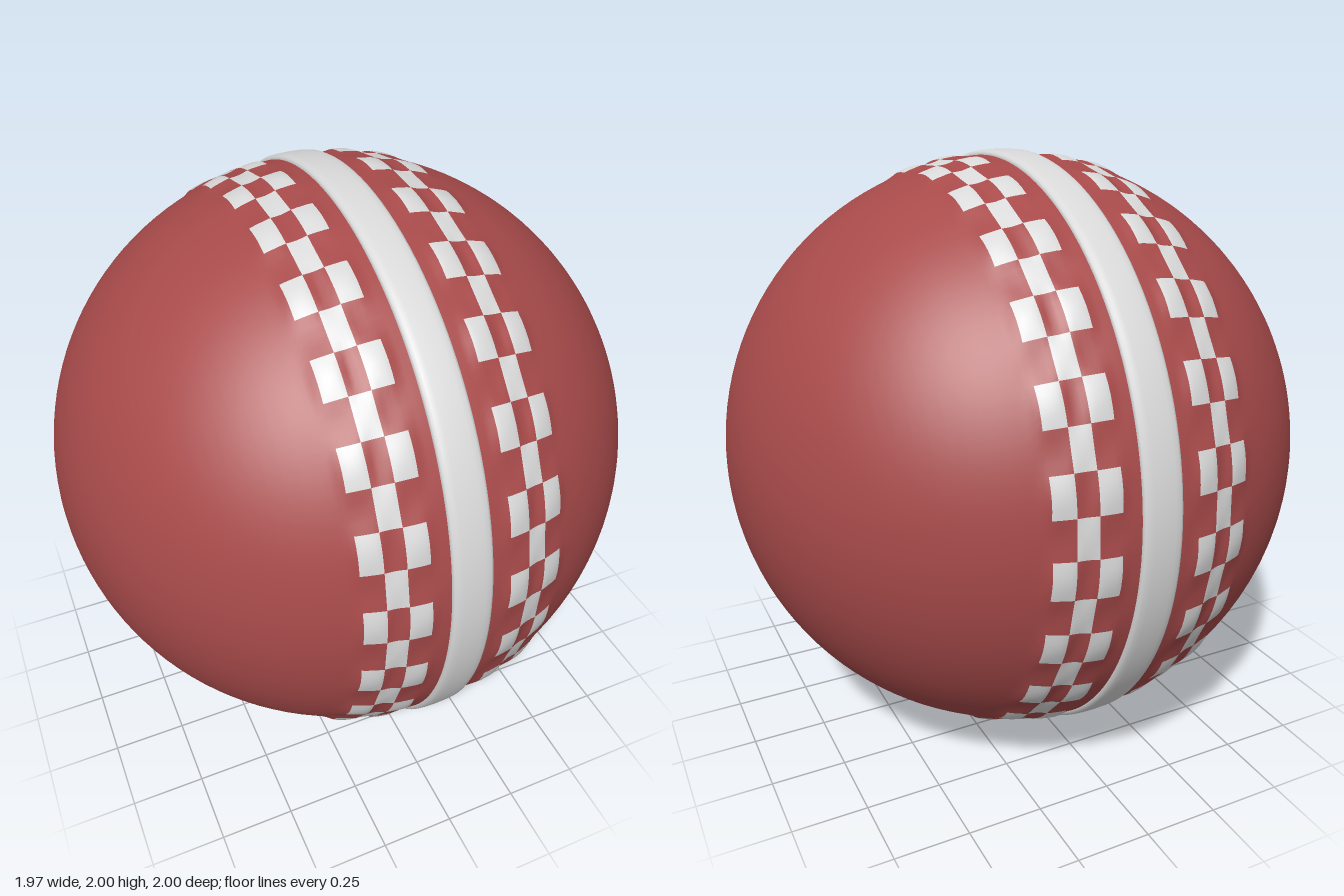
import * as THREE from 'three';

const BALL_R = 0.985;
const PITCH = Math.PI / 12;          // 24 stitches around each row
const STEPS = 8;                     // angular steps per stitch
const SEGMENTS = 24 * STEPS;
const OFFSET = 0.009;                // small turn of the stitch pattern
// column edges of one stitch row: side cell, middle cell, side cell
const COLS = [0.127, 0.194, 0.257, 0.322];

// stations along the ball axis, exact at the stitch column edges
function axisStations() {
  const half = [0, 0.06, 0.09, 0.11];
  for (let c = 0; c < 3; c++) {
    for (let k = 0; k < 4; k++) half.push(COLS[c] + (COLS[c + 1] - COLS[c]) * k / 4);
  }
  half.push(COLS[3], 0.337, 0.355, 0.375);
  const start = Math.asin(0.375 / BALL_R);
  for (let k = 1; k <= 24; k++) half.push(BALL_R * Math.sin(start + (Math.PI / 2 - start) * k / 24));
  return [...half.slice(1).reverse().map(x => -x), ...half];
}

// soft swelling under each stitch; the middle column alternates with the sides
function swelling(x, angle) {
  const ax = Math.abs(x);
  const wave = 0.5 + 0.5 * Math.cos((angle - PITCH / 4) * 24);
  const bell = (centre, width) => Math.exp(-(((ax - centre) / width) ** 4));
  const side = bell(0.16, 0.045) + bell(0.29, 0.045);
  return 0.013 * side * wave + 0.006 * bell(0.225, 0.045) * (1 - wave);
}

function isStitch(x, step) {
  const ax = Math.abs(x);
  if (ax < COLS[0] || ax > COLS[3]) return false;
  const middle = ax > COLS[1] && ax < COLS[2];
  return (step % STEPS < STEPS / 2) !== middle;
}

// one shared skin, divided into leather and stitch faces
function buildSkin() {
  const xs = axisStations();
  const positions = [], leather = [], stitches = [];
  for (const x of xs) {
    for (let j = 0; j < SEGMENTS; j++) {
      const local = j / SEGMENTS * Math.PI * 2;
      const a = local + OFFSET;
      const ring = Math.sqrt(Math.max(0, BALL_R * BALL_R - x * x)) + swelling(x, local);
      positions.push(x, ring * Math.sin(a), ring * Math.cos(a));
    }
  }
  for (let i = 0; i < xs.length - 1; i++) {
    const mid = (xs[i] + xs[i + 1]) / 2;
    for (let j = 0; j < SEGMENTS; j++) {
      const k = (j + 1) % SEGMENTS;
      const a = i * SEGMENTS + j, b = a + SEGMENTS;
      const d = i * SEGMENTS + k, c = d + SEGMENTS;
      (isStitch(mid, j) ? stitches : leather).push(a, b, c, a, c, d);
    }
  }
  const whole = new THREE.BufferGeometry();
  whole.setAttribute('position', new THREE.Float32BufferAttribute(positions, 3));
  whole.setIndex([...leather, ...stitches]);
  whole.computeVertexNormals();
  return [leather, stitches].map(index => {
    const g = new THREE.BufferGeometry();
    g.setAttribute('position', whole.getAttribute('position'));
    g.setAttribute('normal', whole.getAttribute('normal'));
    g.setIndex(index);
    return g;
  });
}

// raised band with rounded shoulders around the middle
function buildSeam() {
  const profile = [
    [0.955, -0.066], [0.984, -0.066], [0.992, -0.062], [0.997, -0.053], [0.999, -0.035], [1, 0],
    [0.999, 0.035], [0.997, 0.053], [0.992, 0.062], [0.984, 0.066], [0.955, 0.066],
  ].map(([r, x]) => new THREE.Vector2(r, x));
  return new THREE.LatheGeometry(profile, 128).rotateZ(-Math.PI / 2);
}

export function createModel() {
  const red = new THREE.MeshStandardMaterial({ color: 0xa84a4a });
  red.name = 'red leather';
  const white = new THREE.MeshStandardMaterial({ color: 0xd9d9d9 });
  white.name = 'white thread';

  const ball = new THREE.Group();
  ball.name = 'ball';
  const add = (name, geometry, material) => {
    const mesh = new THREE.Mesh(geometry, material);
    mesh.name = name;
    mesh.position.y = 1;
    ball.add(mesh);
  };
  const [leather, stitches] = buildSkin();
  add('leatherShell', leather, red);
  add('stitchRows', stitches, white);
  add('seamBand', buildSeam(), white);
  return ball;
}
